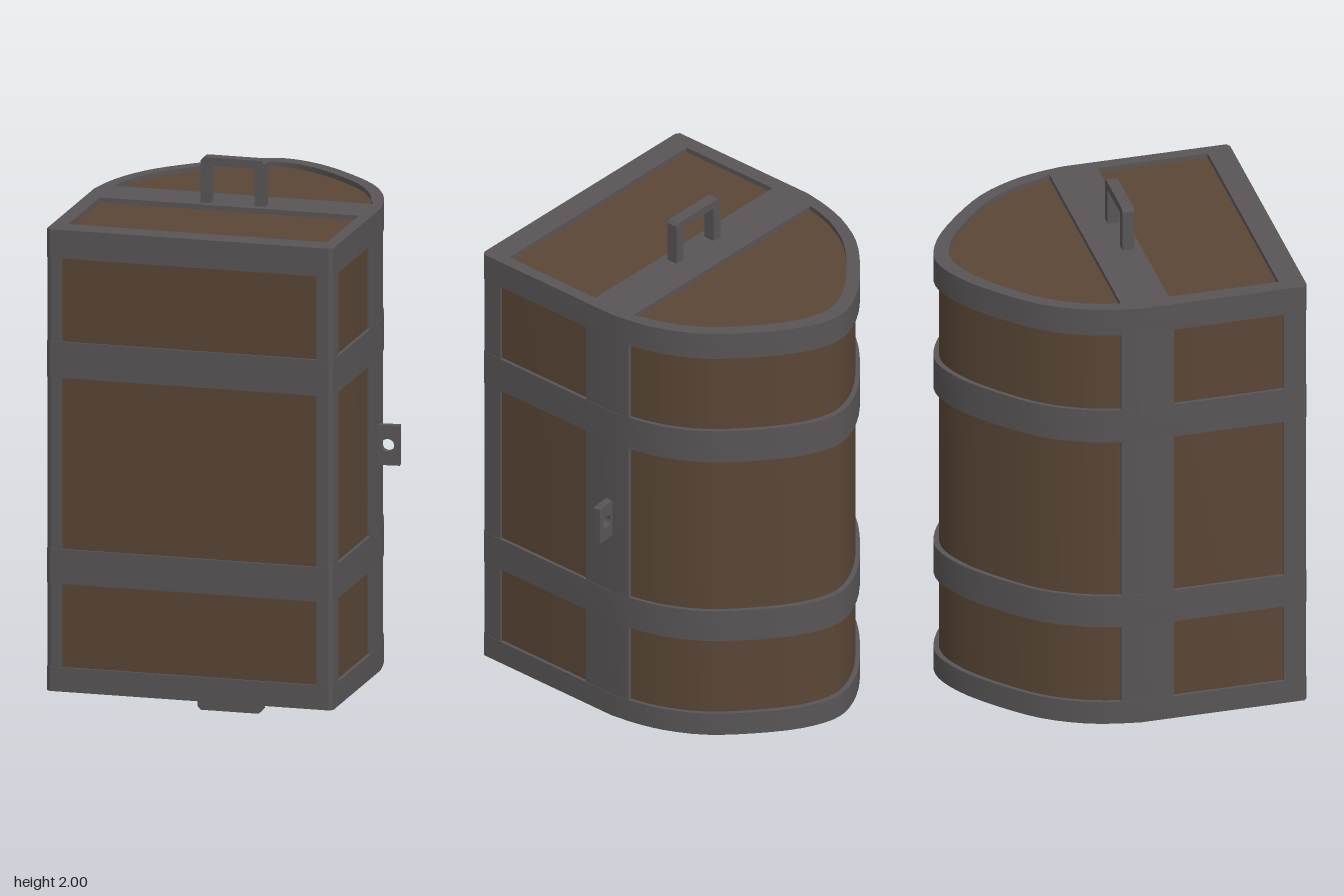
import * as THREE from 'three';
import { toCreasedNormals } from 'three/addons/utils/BufferGeometryUtils.js';

const CX = -0.038, HALF = 0.523, FRONT = 0.605, APEX = 0.607;
const Y0 = 0.165, Y1 = 1.835;

// Right half of the curved lid: half width, depth behind z = 0
const LID = [[0.523, 0], [0.506, 0.1], [0.473, 0.205], [0.41, 0.32], [0.32, 0.42], [0.19, 0.53], [0.085, 0.588], [0, APEX]];

// Lid curve from right to left in shape coordinates (x, -z), pulled in by dx and dz
function lidCurve(dx, dz) {
  const pts = LID.map(([h, d]) => new THREE.Vector2(h * (HALF - dx) / HALF, d * (APEX - dz) / APEX));
  const mirrored = pts.slice(0, -1).reverse().map((p) => new THREE.Vector2(-p.x, p.y));
  return new THREE.SplineCurve([...pts, ...mirrored]).getPoints(36)
    .map((p) => new THREE.Vector2(p.x + CX, p.y));
}

// Whole chest outline, seen from above
function outline(side, front, back) {
  const w = HALF - side, f = -(FRONT - front);
  return new THREE.Shape([
    new THREE.Vector2(CX - w, f + 0.01), new THREE.Vector2(CX - w + 0.015, f),
    new THREE.Vector2(CX + w - 0.015, f), new THREE.Vector2(CX + w, f + 0.01),
    ...lidCurve(side, back),
  ]);
}

function rectPoints(x0, x1, z0, z1) {
  return [[x0, -z1], [x1, -z1], [x1, -z0], [x0, -z0]].map(([x, y]) => new THREE.Vector2(x, y));
}

// Extrude an outline upward between two heights
function upright(shape, y0, y1) {
  const g = new THREE.ExtrudeGeometry(shape, { depth: y1 - y0, bevelEnabled: false });
  g.rotateX(-Math.PI / 2).translate(0, y0, 0);
  return toCreasedNormals(g, 0.4);
}

export function createModel() {
  const wood = new THREE.MeshStandardMaterial({ color: 0x5a4636 });
  wood.name = 'brown wood';
  const iron = new THREE.MeshStandardMaterial({ color: 0x595557 });
  iron.name = 'grey iron';

  const model = new THREE.Group();
  model.name = 'chest';
  const add = (name, geometry, material, parent = model) => {
    const mesh = new THREE.Mesh(geometry, material);
    mesh.name = name;
    parent.add(mesh);
    return mesh;
  };

  // Wooden body, set slightly inside the ironwork
  add('woodBody', upright(outline(0.012, 0.008, 0.02), Y0 + 0.018, Y1 - 0.018), wood);

  // End frames with an opening over each half
  const frame = outline(0, 0, 0);
  const openLid = lidCurve(0.045, 0.056).filter((p) => p.y > 0.075);
  const lidHole = [new THREE.Vector2(0.44, 0.06), ...openLid, new THREE.Vector2(-0.505, 0.06)];
  frame.holes.push(new THREE.Path(lidHole));
  frame.holes.push(new THREE.Path(rectPoints(-0.505, 0.44, 0.115, 0.515)));
  add('bottomFrame', upright(frame, Y0, 0.253), iron);
  add('topFrame', upright(frame, 1.732, Y1), iron);

  // Middle bands
  for (const [name, a, b] of [['lowerBand', 0.555, 0.68], ['upperBand', 1.3, 1.43]]) {
    add(name, upright(outline(0, 0, 0), a, b), iron);
  }

  // Front corner posts and the seam posts between body and lid
  for (const s of [1, -1]) {
    const side = s > 0 ? 'left' : 'right';
    const corner = [[0.465, 0.52], [HALF - 0.002, 0.52], [HALF - 0.002, FRONT - 0.012], [HALF - 0.016, FRONT - 0.002], [0.465, FRONT - 0.002]];
    const seam = [[0.45, 0.12], [HALF - 0.002, 0.12], [HALF - 0.002, 0], [0.512, -0.07], [0.45, -0.07]];
    for (const [name, pts] of [['CornerPost', corner], ['SeamPost', seam]]) {
      const shape = new THREE.Shape(pts.map(([x, z]) => new THREE.Vector2(CX + s * x, -z)));
      add(side + name, upright(shape, 0.2, 1.8), iron);
    }
  }

  // Square loop handles on both ends
  const handle = (name, x, y, dir) => {
    const w = 0.117, h = 0.165, t = 0.036, c = 0.012;
    const loop = new THREE.Shape([[-w, -0.02], [-w + t, -0.02], [-w + t, h - t + 0.006], [w - t, h - t + 0.006],
      [w - t, -0.02], [w, -0.02], [w, h - c], [w - c, h], [-w + c, h], [-w, h - c]]
      .map(([px, py]) => new THREE.Vector2(px, py)));
    const g = new THREE.ExtrudeGeometry(loop, { depth: 0.042, bevelEnabled: false });
    g.translate(0, 0, -0.021);
    const mesh = add(name, g, iron);
    mesh.position.set(x, y, 0.066);
    if (dir < 0) mesh.rotation.z = Math.PI;
  };
  handle('topHandle', -0.03, Y1, 1);
  handle('bottomHandle', -0.04, Y0, -1);

  // Pierced lock tab on the left side, slightly turned
  const tab = new THREE.Shape([[-0.02, -0.072], [0.075, -0.072], [0.075, 0.072], [-0.02, 0.072]]
    .map(([x, y]) => new THREE.Vector2(x, y)));
  tab.holes.push(new THREE.Path().absarc(0.032, 0, 0.023, 0, Math.PI * 2, true));
  const tabGeometry = new THREE.ExtrudeGeometry(tab, { depth: 0.028, bevelEnabled: false, curveSegments: 10 });
  tabGeometry.translate(0, 0, -0.014);
  const lock = add('lockTab', tabGeometry, iron);
  lock.position.set(0.485, 0.987, 0.012);
  lock.rotation.y = 0.1;

  return model;
}
